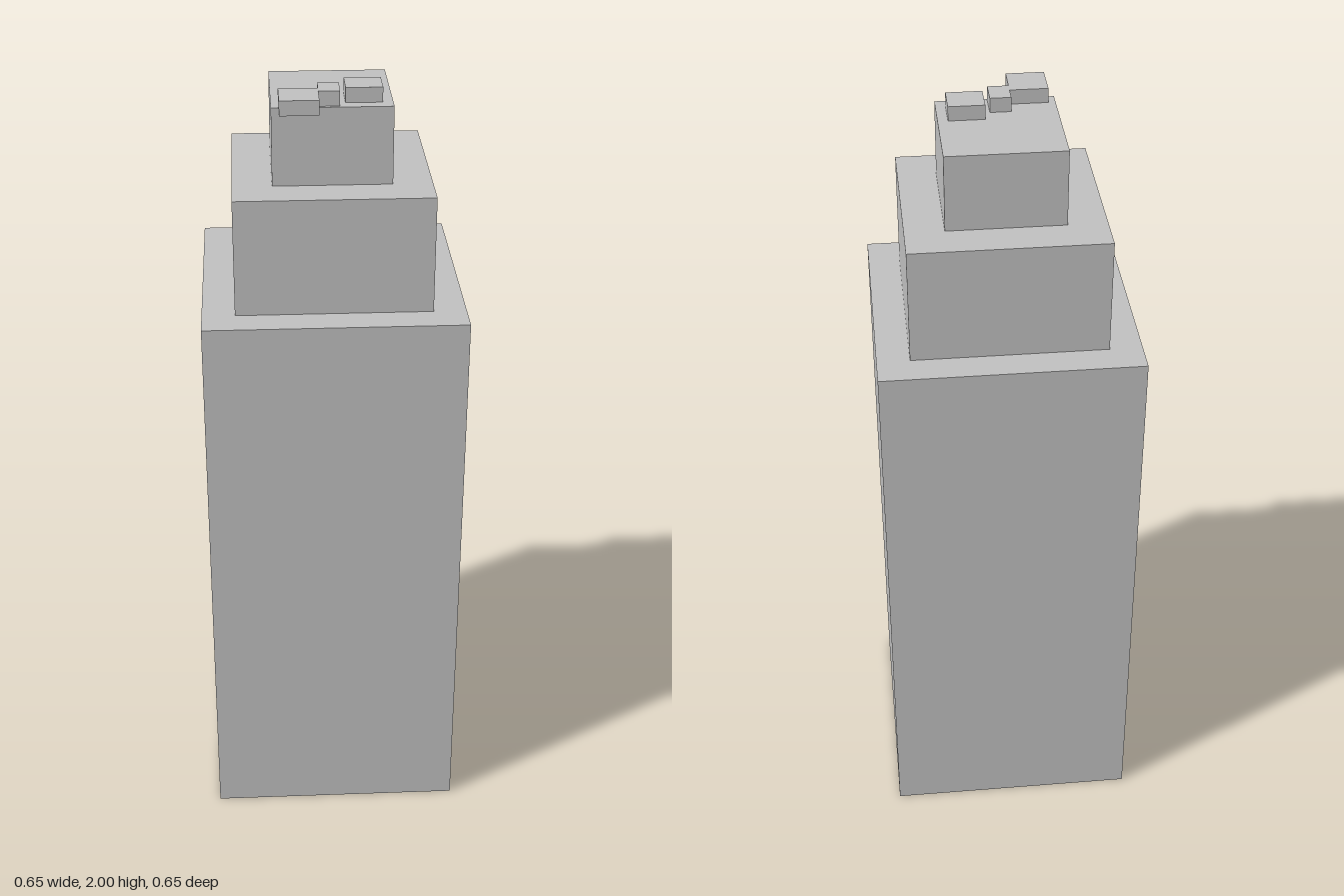
import * as THREE from 'three';

const concrete = new THREE.MeshStandardMaterial({ color: 0xc0c0c0, side: THREE.DoubleSide });
concrete.name = 'concreteGrey';

// Walls and roof over a floor plan of [x, z] corners, open underneath
function shell(name, plan, bottom, top) {
  const shape = new THREE.Shape(plan.map(([x, z]) => new THREE.Vector2(x, -z)));
  const solid = new THREE.ExtrudeGeometry(shape, { depth: top - bottom, bevelEnabled: false });
  solid.rotateX(-Math.PI / 2).translate(0, bottom, 0);
  const pos = solid.attributes.position;
  const normal = solid.attributes.normal;
  const kept = [];
  for (let i = 0; i < pos.count; i += 3) {
    if (normal.getY(i) < -0.5) continue; // leave out the floor
    for (let k = i; k < i + 3; k++) kept.push(pos.getX(k), pos.getY(k), pos.getZ(k));
  }
  const geometry = new THREE.BufferGeometry();
  geometry.setAttribute('position', new THREE.Float32BufferAttribute(kept, 3));
  geometry.computeVertexNormals();
  const mesh = new THREE.Mesh(geometry, concrete);
  mesh.name = name;
  return mesh;
}

const rect = (x0, x1, z0, z1) => [[x0, z0], [x0, z1], [x1, z1], [x1, z0]];
const square = (h) => rect(-h, h, -h, h);

export function createModel() {
  const tower = new THREE.Group();
  tower.name = 'steppedTower';

  // Three stepped tiers
  tower.add(
    shell('mainShaft', square(0.327), 0, 1.471),
    shell('middleTier', square(0.245), 1.471, 1.768),
    shell('upperTier', square(0.147), 1.768, 1.963),
  );

  // Low rooftop blocks: two joined, one separate
  const joined = [
    [-0.129, 0.113], [-0.129, 0.208], [-0.034, 0.208], [-0.034, 0.139],
    [0.018, 0.139], [0.018, 0.072], [-0.034, 0.072], [-0.034, 0.113],
  ];
  tower.add(
    shell('joinedRoofBlocks', joined, 1.963, 2),
    shell('singleRoofBlock', rect(0.032, 0.122, 0.036, 0.115), 1.963, 2),
  );
  return tower;
}
